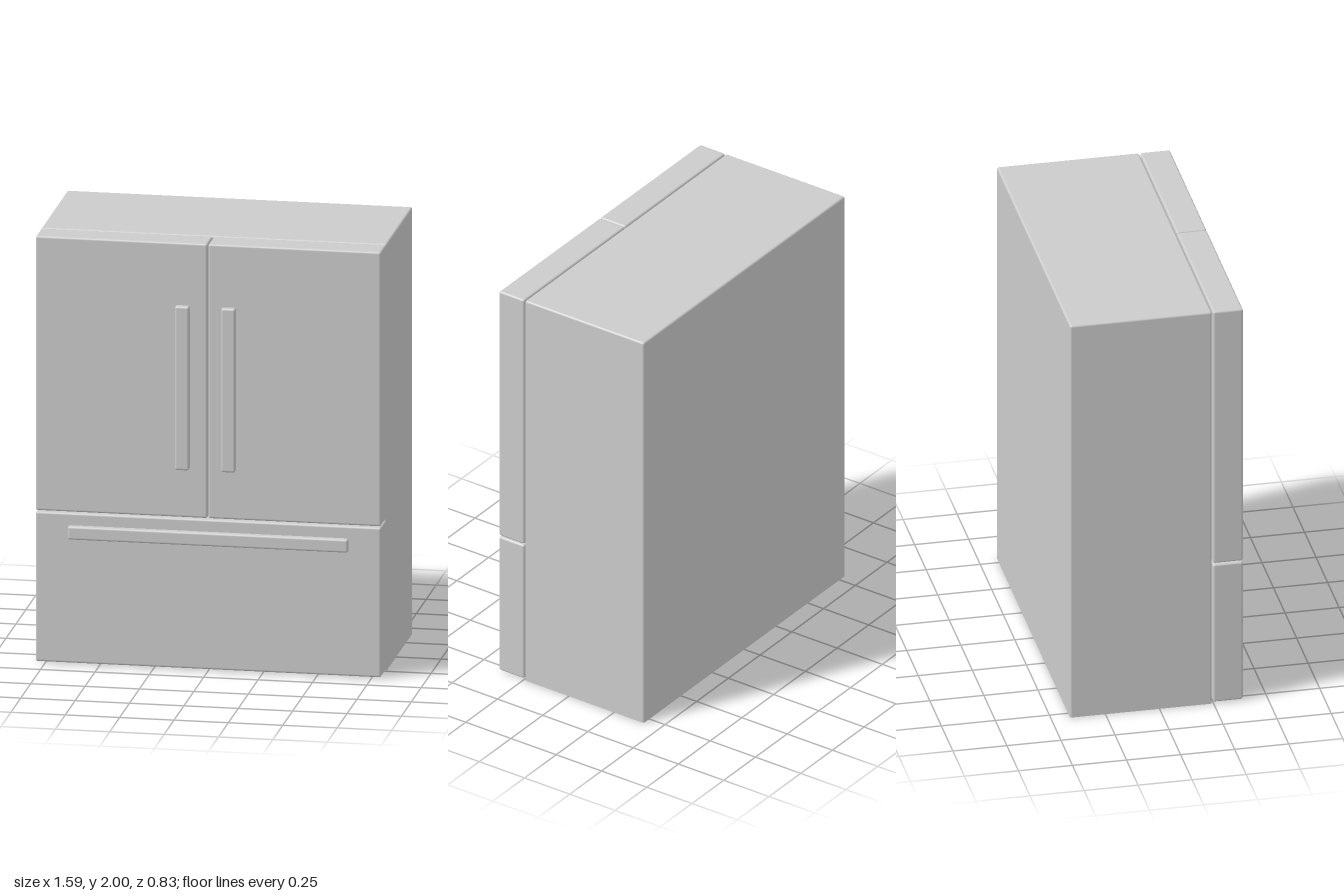
import * as THREE from 'three';
import { RoundedBoxGeometry } from 'three/addons/geometries/RoundedBoxGeometry.js';

const material = new THREE.MeshStandardMaterial({ color: 0xcccccc });
const shellMaterial = new THREE.MeshStandardMaterial({ color: 0xcccccc, side: THREE.DoubleSide });

// Softly rounded block given by its extents on each axis
function block(name, [x0, x1], [y0, y1], [z0, z1], radius) {
  const geometry = new RoundedBoxGeometry(x1 - x0, y1 - y0, z1 - z0, 3, radius);
  geometry.translate((x0 + x1) / 2, (y0 + y1) / 2, (z0 + z1) / 2);
  const mesh = new THREE.Mesh(geometry, material);
  mesh.name = name;
  return mesh;
}

// Keep only the triangles that reach above y = 0, leaving the underside open
function openBottom(geometry) {
  const source = geometry.index ? geometry.toNonIndexed() : geometry;
  const { position, normal } = source.attributes;
  const points = [], normals = [];
  for (let i = 0; i < position.count; i += 3) {
    const corners = [i, i + 1, i + 2];
    if (corners.every((c) => position.getY(c) < 1e-4)) continue;
    for (const c of corners) {
      points.push(position.getX(c), position.getY(c), position.getZ(c));
      normals.push(normal.getX(c), normal.getY(c), normal.getZ(c));
    }
  }
  const result = new THREE.BufferGeometry();
  result.setAttribute('position', new THREE.Float32BufferAttribute(points, 3));
  result.setAttribute('normal', new THREE.Float32BufferAttribute(normals, 3));
  return result;
}

export function createModel() {
  const group = new THREE.Group();
  group.name = 'refrigerator';
  const halfWidth = 0.794;
  const round = 0.01;
  const doorDepth = [0.248, 0.387];
  const handleDepth = [0.37, 0.414];

  // Cabinet: hollow shell, open underneath with a square-cut lower rim
  const cabinet = block('cabinet', [-halfWidth, halfWidth], [-round, 2], [-0.414, 0.243], round);
  cabinet.geometry = openBottom(cabinet.geometry);
  cabinet.material = shellMaterial;
  group.add(cabinet);

  // Upper pair of doors and the freezer drawer
  group.add(
    block('rightDoor', [-halfWidth, -0.004], [0.714, 2], doorDepth, round),
    block('leftDoor', [0, halfWidth], [0.714, 2], doorDepth, round),
    block('freezerDrawer', [-halfWidth, halfWidth], [0.006, 0.708], doorDepth, round),
  );

  // Flat bar handles
  group.add(
    block('rightDoorHandle', [-0.149, -0.084], [0.94, 1.708], handleDepth, round),
    block('leftDoorHandle', [0.063, 0.128], [0.94, 1.708], handleDepth, round),
    block('drawerHandle', [-0.642, 0.646], [0.59, 0.652], handleDepth, round),
  );

  return group;
}
